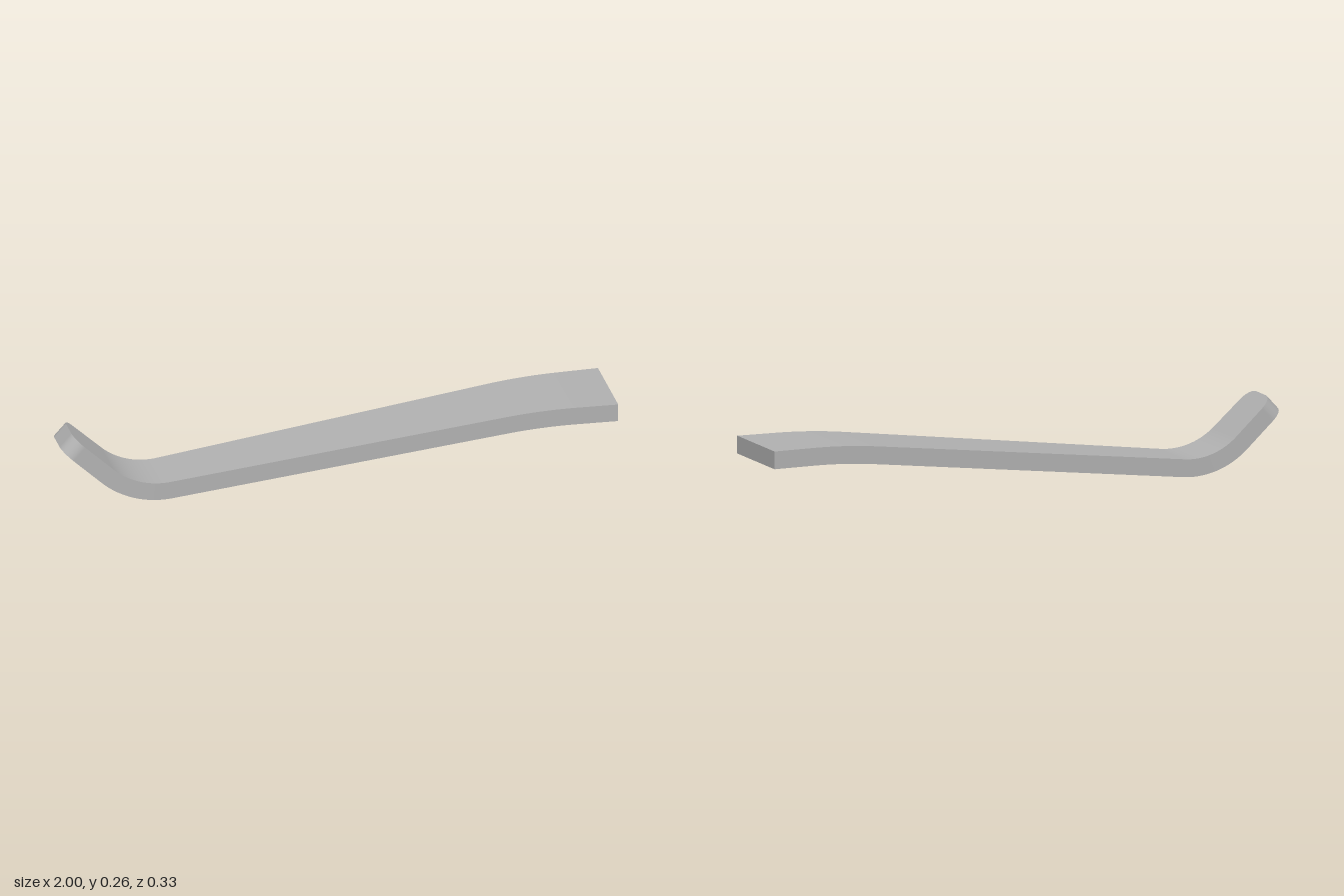
import * as THREE from 'three';
import { mergeGeometries } from 'three/addons/utils/BufferGeometryUtils.js';

const THICK = 0.064;
const rad = THREE.MathUtils.degToRad;

// Underside path from the upturned tip to the wide end: x, y, slope angle, width trim
function underside() {
  const path = [];
  const add = (x, y, a, trim = 0) => path.push({ x, y, a, trim });
  const tipA = rad(-42.5), slopeA = rad(7), R = 0.32, cx = -0.645, cy = 0.32;

  // straight tip with rounded corners
  const sx = cx + R * Math.sin(tipA), sy = cy - R * Math.cos(tipA);
  const len = (sx + 1) / Math.cos(tipA), r = 0.052;
  for (let i = 0; i <= 12; i++) {
    const t = (i / 12) * Math.PI / 2;
    const d = len - r * (1 - Math.cos(t)); // distance up from the bend
    add(sx - d * Math.cos(tipA), sy - d * Math.sin(tipA), tipA, r * (1 - Math.sin(t)));
  }
  // tight bend
  for (let i = 0; i <= 24; i++) {
    const a = tipA + (slopeA - tipA) * i / 24;
    add(cx + R * Math.sin(a), cy - R * Math.cos(a), a);
  }
  // long slope, then a gentle bend to level
  const last = path[path.length - 1];
  const bx = 0.6, by = last.y + (bx - last.x) * Math.tan(slopeA);
  const R2 = 0.25 / Math.sin(slopeA);
  for (let i = 0; i <= 12; i++) {
    const a = slopeA * (1 - i / 12);
    add(bx + R2 * (Math.sin(slopeA) - Math.sin(a)), by + R2 * (Math.cos(a) - Math.cos(slopeA)), a);
  }
  add(1, path[path.length - 1].y, 0);
  return path;
}

// Smooth strip between two rails of points
function strip(A, B) {
  const index = [];
  for (let i = 0; i < A.length - 1; i++) {
    const a = 2 * i, b = a + 1;
    index.push(a, b, b + 2, a, b + 2, a + 2);
  }
  const g = new THREE.BufferGeometry().setFromPoints(A.flatMap((p, i) => [p, B[i]]));
  g.setIndex(index);
  g.computeVertexNormals();
  return g;
}

export function createModel() {
  const grey = new THREE.MeshStandardMaterial({ color: 0xb2b2b2 });
  grey.name = 'grey';

  const path = underside();
  // one of the four long edges of the bar
  const rail = (h, side) => path.map(({ x, y, a, trim }) => {
    const half = 0.129 + 0.034 * x - trim;
    return new THREE.Vector3(x - h * Math.sin(a), y + h * Math.cos(a), 0.004 - 0.003 * x + side * half);
  });
  const tb = rail(THICK, -1), tf = rail(THICK, 1), bf = rail(0, 1), bb = rail(0, -1);
  const n = path.length - 1;

  const bar = new THREE.Mesh(mergeGeometries([
    strip(tb, tf), strip(tf, bf), strip(bf, bb), strip(bb, tb),
    strip([tf[0], bf[0]], [tb[0], bb[0]]), // tip end
    strip([tb[n], bb[n]], [tf[n], bf[n]]), // wide end
  ]), grey);
  bar.name = 'leverBar';

  const group = new THREE.Group();
  group.name = 'lever';
  group.add(bar);
  return group;
}
